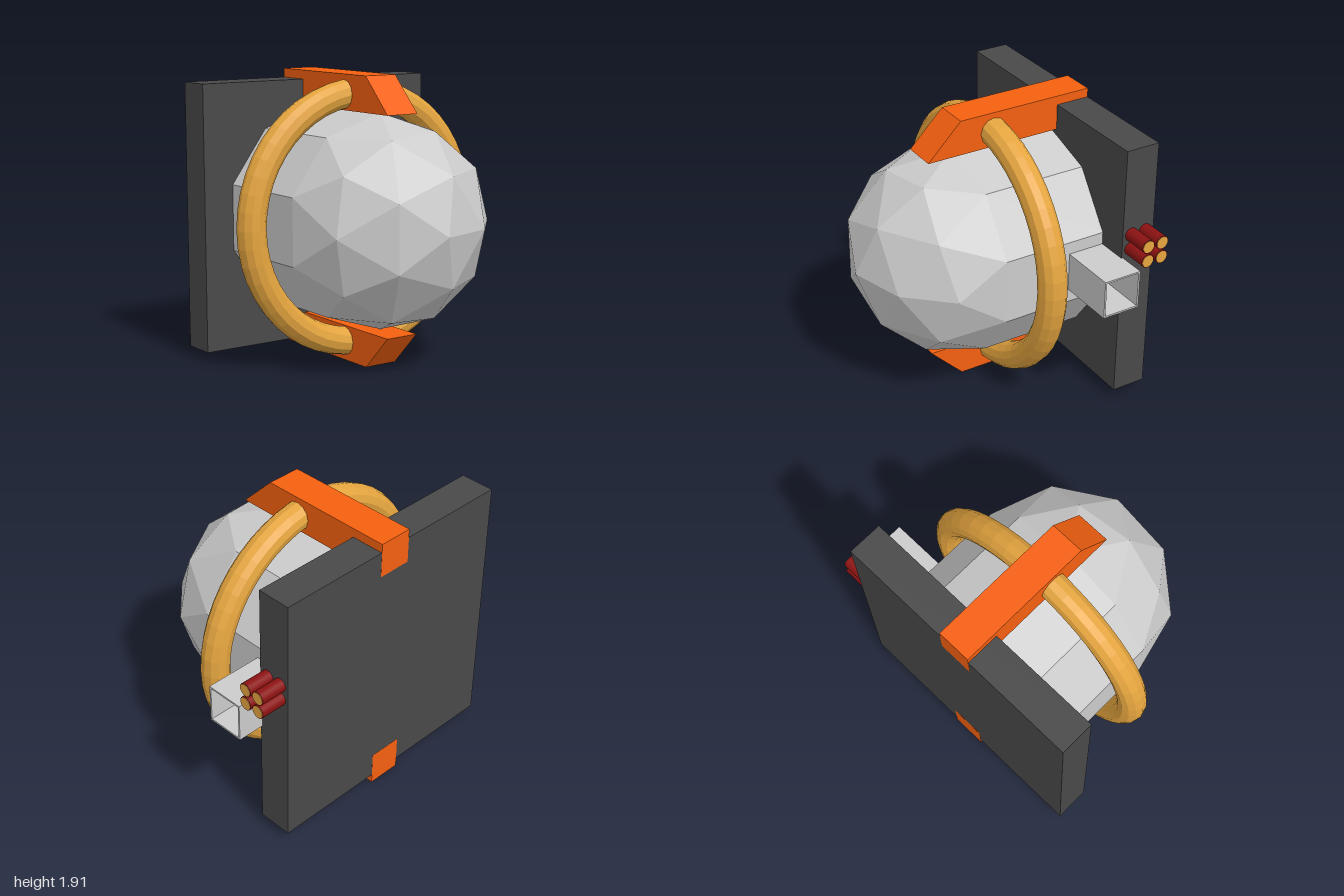
import * as THREE from 'three';

const CX = -0.075, CY = 0.953;

const mat = (color, extra = {}) =>
  new THREE.MeshStandardMaterial({ color, flatShading: true, ...extra });

// Front half of a once-subdivided icosahedron, pole facing +z
function domeGeometry(radius) {
  const ball = new THREE.IcosahedronGeometry(radius, 1);
  ball.rotateX(Math.atan(2 / (1 + Math.sqrt(5))));
  ball.rotateZ(Math.PI / 2);
  const p = ball.attributes.position, kept = [];
  for (let i = 0; i < p.count; i += 3) {
    const z = [0, 1, 2].map((k) => p.getZ(i + k));
    if (Math.min(...z) < -0.001) continue;
    for (let k = 0; k < 3; k++) kept.push(p.getX(i + k), p.getY(i + k), z[k]);
  }
  const geo = new THREE.BufferGeometry();
  geo.setAttribute('position', new THREE.Float32BufferAttribute(kept, 3));
  geo.computeVertexNormals();
  return geo;
}

// Bracket profile in the z-y plane, extruded along x
function clampGeometry(flip) {
  const pts = [[-0.836, 1.67], [0.355, 1.67], [0.12, 1.906], [-0.836, 1.906]]
    .map(([z, y]) => new THREE.Vector2(-z, flip ? 1.906 - y : y));
  const geo = new THREE.ExtrudeGeometry(new THREE.Shape(pts), { depth: 0.235, bevelEnabled: false });
  geo.rotateY(Math.PI / 2);
  geo.translate(-0.192, 0, 0);
  return geo;
}

export function createModel() {
  const group = new THREE.Group();
  const grey = mat(0xcccccc), dark = mat(0x494949), gold = mat(0xe5a53f);
  const orange = mat(0xf56010), red = mat(0x8c1212, { flatShading: false });

  const add = (name, geo, material, x = 0, y = 0, z = 0, parent = group) => {
    const mesh = new THREE.Mesh(geo, material);
    mesh.name = name;
    mesh.position.set(x, y, z);
    parent.add(mesh);
    return mesh;
  };

  // Square back plate
  add('backPlate', new THREE.BoxGeometry(1.78, 1.78, 0.235), dark, CX, 0.955, -0.7175);

  // Ten-sided body with faceted dome
  const body = new THREE.CylinderGeometry(0.713, 0.713, 0.73, 10, 1, true).rotateX(Math.PI / 2);
  add('body', body, grey, CX, CY, -0.245);
  add('dome', domeGeometry(0.713), grey, CX, CY, 0.12);

  // Ring around the body
  add('ring', new THREE.TorusGeometry(0.83, 0.095, 12, 48), gold, CX, CY, -0.122);

  // Top and bottom clamps
  add('topClamp', clampGeometry(false), orange);
  add('bottomClamp', clampGeometry(true), orange);

  // Hollow square duct on the left side
  const square = (s) => [[-s, -s], [s, -s], [s, s], [-s, s]].map(([a, b]) => new THREE.Vector2(a, b));
  const section = new THREE.Shape(square(0.132));
  section.holes.push(new THREE.Path(square(0.12).reverse()));
  const duct = new THREE.ExtrudeGeometry(section, { depth: 0.45, bevelEnabled: false });
  duct.rotateY(Math.PI / 2);
  add('sideDuct', duct, grey, 0.55, 0.957, -0.479);

  // Bundle of four cables leaving the plate edge
  const cables = new THREE.Group();
  cables.name = 'cables';
  group.add(cables);
  const sheath = new THREE.CylinderGeometry(0.046, 0.046, 0.24, 20).rotateZ(Math.PI / 2);
  const core = new THREE.CylinderGeometry(0.041, 0.041, 0.24, 20).rotateZ(Math.PI / 2);
  for (const y of [1.145, 1.247]) {
    for (const z of [-0.665, -0.77]) {
      add('cableSheath', sheath, red, 0.877, y, z, cables);
      add('cableCore', core, gold, 0.88, y, z, cables);
    }
  }

  return group;
}
